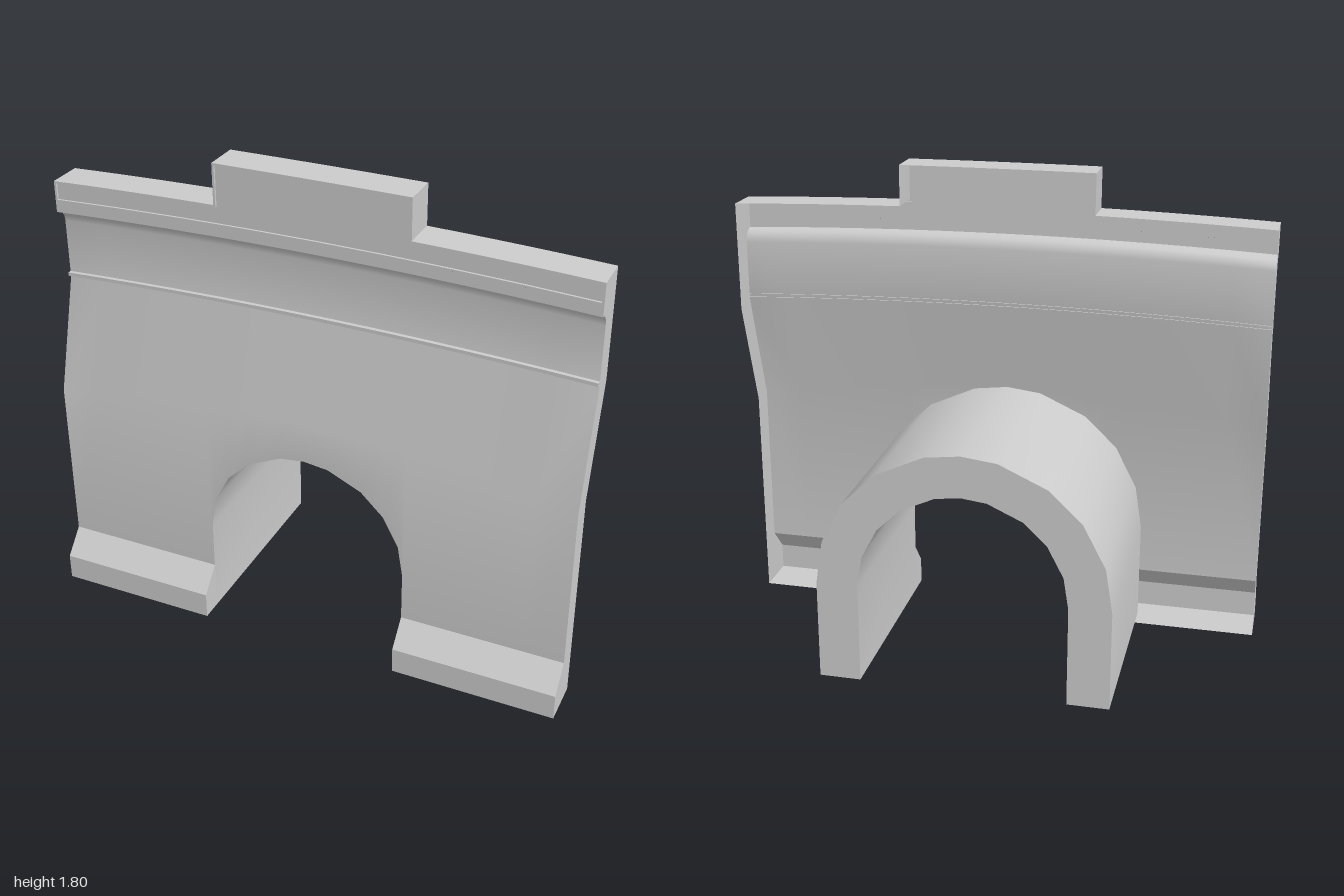
import * as THREE from 'three';
import { mergeGeometries, toCreasedNormals } from 'three/addons/utils/BufferGeometryUtils.js';

const material = new THREE.MeshStandardMaterial({ color: 0xcccccc, side: THREE.DoubleSide });
const crown = (x) => 1 - x * x; // the wall rises gently towards the middle
const HALF = 0.385, OUTER = 0.54, SPRING = 0.378, BACK = -0.42;

// Surface through a list of equally long point lines
function loft(lines) {
  const pos = [], n = lines[0].length;
  for (let j = 0; j < lines.length - 1; j++) {
    for (let i = 0; i < n - 1; i++) {
      const a = lines[j][i], b = lines[j][i + 1], c = lines[j + 1][i + 1], d = lines[j + 1][i];
      pos.push(...a, ...b, ...c, ...a, ...c, ...d);
    }
  }
  const g = new THREE.BufferGeometry();
  g.setAttribute('position', new THREE.Float32BufferAttribute(pos, 3));
  return g;
}

// Flat face in the xy plane
function flat(points) {
  const g = new THREE.ShapeGeometry(new THREE.Shape(points.map((p) => new THREE.Vector2(p[0], p[1])))).toNonIndexed();
  g.deleteAttribute('uv');
  g.deleteAttribute('normal');
  return g;
}

// Arch section from the right foot over the crown to the left foot
function archLine(r) {
  const angles = [-90, -72, -53, -35, -14, 0, 14, 35, 53, 72, 90].map(THREE.MathUtils.degToRad);
  const curve = angles.map((a) => [r * Math.sin(a), SPRING + r * Math.cos(a)]);
  return [[-r, 0], ...curve, [r, 0]];
}

const at = (line, z) => line.map(([x, y]) => [x, y, z]);

// Wall profile above the foot: height at the ends, extra height in the middle, depth
const profile = [
  [0.82, 0.09, 0.34], [1.24, 0.025, 0.22], [1.465, 0.025, 0.22], [1.485, 0.025, 0.223],
  [1.502, 0.025, 0.235], [1.512, 0.025, 0.25], [1.515, 0.025, 0.265], [1.555, 0.025, 0.265],
];

// Outline of the stepped parapet, inset by d
function parapetLine(d) {
  const line = [], e = 1 - d, m = 0.36 - d, n = 8;
  const run = (x0, x1, y, rise) => {
    for (let i = 0; i <= n; i++) {
      const x = x0 + (x1 - x0) * i / n;
      line.push([x, y + rise * crown(x)]);
    }
  };
  run(e, m, 1.633 - d, 0.023);
  run(m, -m, 1.795 - d, 0.01);
  run(-m, -e, 1.633 - d, 0.023);
  const topCount = line.length;
  run(-e, e, 1.555 + d, 0.025);
  line.push(line[0]);
  return { line, topCount };
}

export function createModel() {
  const group = new THREE.Group();
  const add = (name, ...geometries) => {
    const merged = geometries.length > 1 ? mergeGeometries(geometries) : geometries[0];
    const mesh = new THREE.Mesh(toCreasedNormals(merged, 0.6), material);
    mesh.name = name;
    group.add(mesh);
  };

  // Front wall with the arch cut out: each column starts at the foot or at the arch
  const side = [[HALF, 0.19], [0.55, 0.19], [0.7, 0.19], [0.85, 0.19], [1, 0.19]];
  const columns = [
    ...side.map(([x, y]) => [-x, y]).reverse(),
    ...archLine(HALF).slice(1, -1),
    ...side,
  ];
  add('frontWall', loft([
    at(columns, 0.34),
    ...profile.map(([y, rise, z]) => columns.map(([x]) => [x, y + rise * crown(x), z])),
  ]));

  // Thin string course
  add('stringCourse', loft([[1.25, 0.215], [1.25, 0.235], [1.263, 0.235], [1.263, 0.215]].map(
    ([y, z]) => columns.map(([x]) => [x, y + 0.025 * crown(x), z]))));

  // Parapet: narrow frame, shallow recessed panel and top cap
  const outer = parapetLine(0), inner = parapetLine(0.008);
  add('parapetPanel',
    loft([at(outer.line, 0.265), at(inner.line, 0.265), at(inner.line, 0.257)]),
    flat(inner.line.slice(0, -1)).translate(0, 0, 0.257));
  const top = outer.line.slice(0, outer.topCount);
  add('parapetCap', loft([at(top, 0.13), at(top, 0.265)]));

  // End walls closing the hollow shell
  const endProfile = [
    [0.25, 0], [0.42, 0], [0.42, 0.1], [0.34, 0.19],
    ...profile.map(([y, , z]) => [z, y]),
    [0.265, 1.633], [0.13, 1.633], [0.13, 1.225], [0.25, 0.82],
  ];
  for (const s of [-1, 1]) {
    const name = s > 0 ? 'left' : 'right';
    add(name + 'EndWall', flat(endProfile).rotateY(-Math.PI / 2).translate(s, 0, 0));

    // Sloped foot with its underside and the cheek beside the opening
    const xs = s > 0 ? [HALF, 1] : [-1, -HALF];
    const rows = [[0, 0.25], [0, 0.42], [0.1, 0.42], [0.19, 0.34]];
    add(name + 'Foot',
      loft(rows.map(([y, z]) => xs.map((x) => [x, y, z]))),
      flat([[0.34, 0], [0.42, 0], [0.42, 0.1], [0.34, 0.19]]).rotateY(-Math.PI / 2).translate(s * HALF, 0, 0));

    // Underside of the tunnel leg
    const leg = s > 0 ? [HALF, OUTER] : [-OUTER, -HALF];
    add(name + 'TunnelBase', loft([BACK, 0.25].map((z) => leg.map((x) => [x, 0, z]))));
  }

  // Vaulted tunnel behind the opening
  const inside = archLine(HALF), outside = archLine(OUTER);
  add('tunnel', loft([at(inside, 0.34), at(inside, BACK), at(outside, BACK), at(outside, 0.335)]));

  return group;
}
